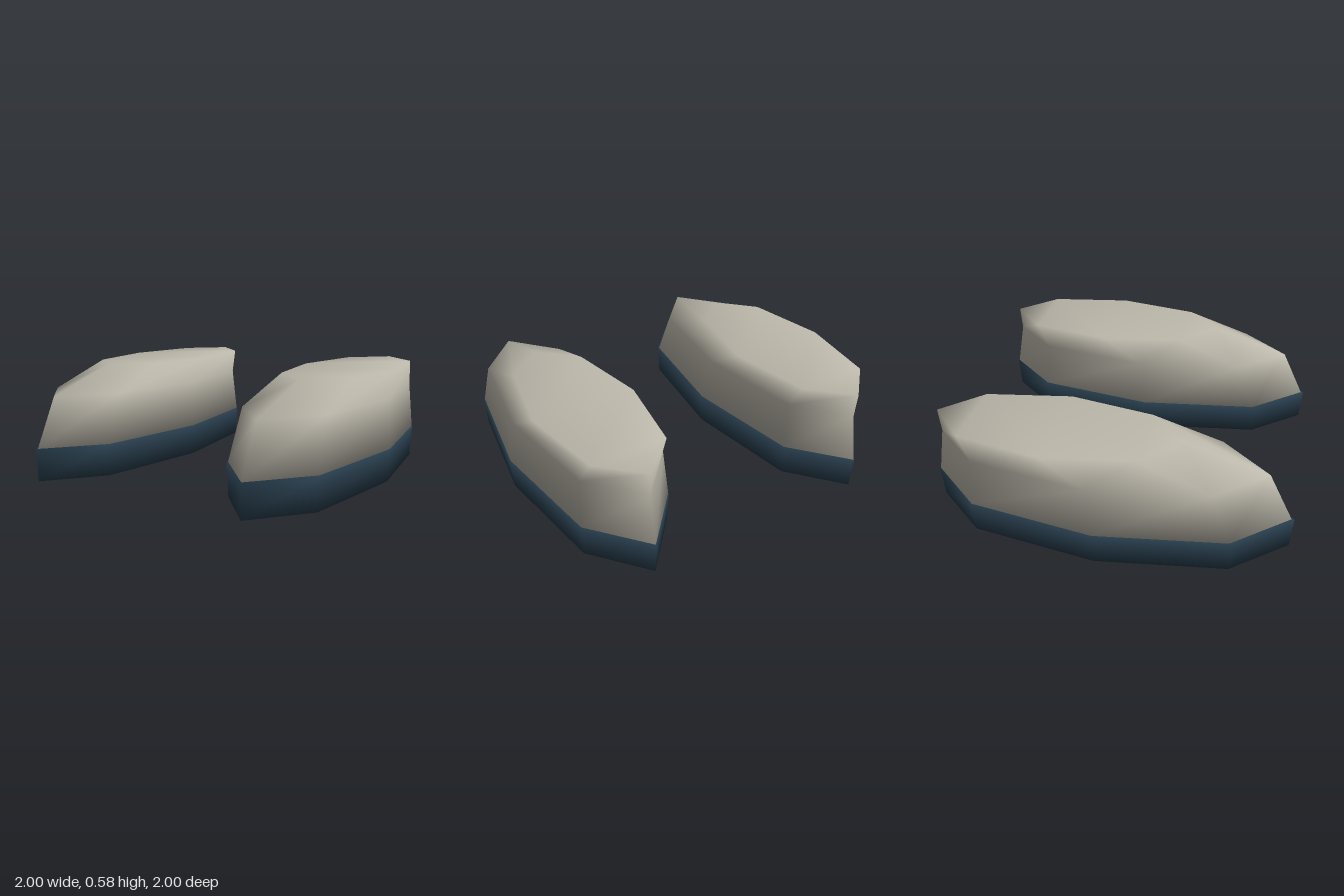
import * as THREE from 'three';

// Eight-sided pointed outline (x, z), counter-clockwise seen from above
const OUTLINE = [[0, 1], [0.72, 0.7], [1, 0], [0.72, -0.7], [0, -1], [-0.72, -0.7], [-1, 0], [-0.72, 0.7]];

// Smooth closed solid lofted through rings of { y, halfWidth, front, back }
function loft(rings) {
  const n = OUTLINE.length;
  const positions = [];
  const index = [];
  for (const { y, halfWidth, front, back } of rings) {
    const centre = (front + back) / 2;
    const halfLength = (front - back) / 2;
    for (const [x, z] of OUTLINE) positions.push(x * halfWidth, y, centre + z * halfLength);
  }
  // side walls
  for (let r = 0; r < rings.length - 1; r++) {
    for (let i = 0; i < n; i++) {
      const j = (i + 1) % n;
      const a = r * n + i, b = r * n + j;
      index.push(a, b, b + n, a, b + n, a + n);
    }
  }
  // end caps, as strips running across the outline
  const top = (rings.length - 1) * n;
  const cap = [[0, 1, 7], [7, 1, 2], [7, 2, 6], [6, 2, 3], [6, 3, 5], [5, 3, 4]];
  for (const [a, b, c] of cap) {
    index.push(top + a, top + b, top + c);
    index.push(a, c, b);
  }
  const geometry = new THREE.BufferGeometry();
  geometry.setAttribute('position', new THREE.Float32BufferAttribute(positions, 3));
  geometry.setIndex(index);
  geometry.computeVertexNormals();
  return geometry;
}

export function createModel() {
  const model = new THREE.Group();
  model.name = 'footPair';

  const upperMaterial = new THREE.MeshStandardMaterial({ color: 0xbcb8ab });
  upperMaterial.name = 'warm grey';
  const soleMaterial = new THREE.MeshStandardMaterial({ color: 0x263b4a });
  soleMaterial.name = 'dark slate blue';

  const soleGeometry = loft([
    { y: 0, halfWidth: 0.345, front: 0.99, back: -0.985 },
    { y: 0.18, halfWidth: 0.355, front: 1, back: -0.995 },
  ]);
  // top ring is shifted backwards, giving the sloping toe
  const upperGeometry = loft([
    { y: 0.181, halfWidth: 0.352, front: 0.985, back: -0.99 },
    { y: 0.45, halfWidth: 0.325, front: 0.85, back: -0.94 },
    { y: 0.585, halfWidth: 0.29, front: 0.4, back: -0.95 },
  ]);

  for (const side of [1, -1]) {
    const foot = new THREE.Group();
    foot.name = side > 0 ? 'leftFoot' : 'rightFoot';
    const sole = new THREE.Mesh(soleGeometry, soleMaterial);
    sole.name = 'sole';
    const upper = new THREE.Mesh(upperGeometry, upperMaterial);
    upper.name = 'upper';
    foot.add(sole, upper);
    foot.position.x = side * 0.643;
    model.add(foot);
  }
  return model;
}
